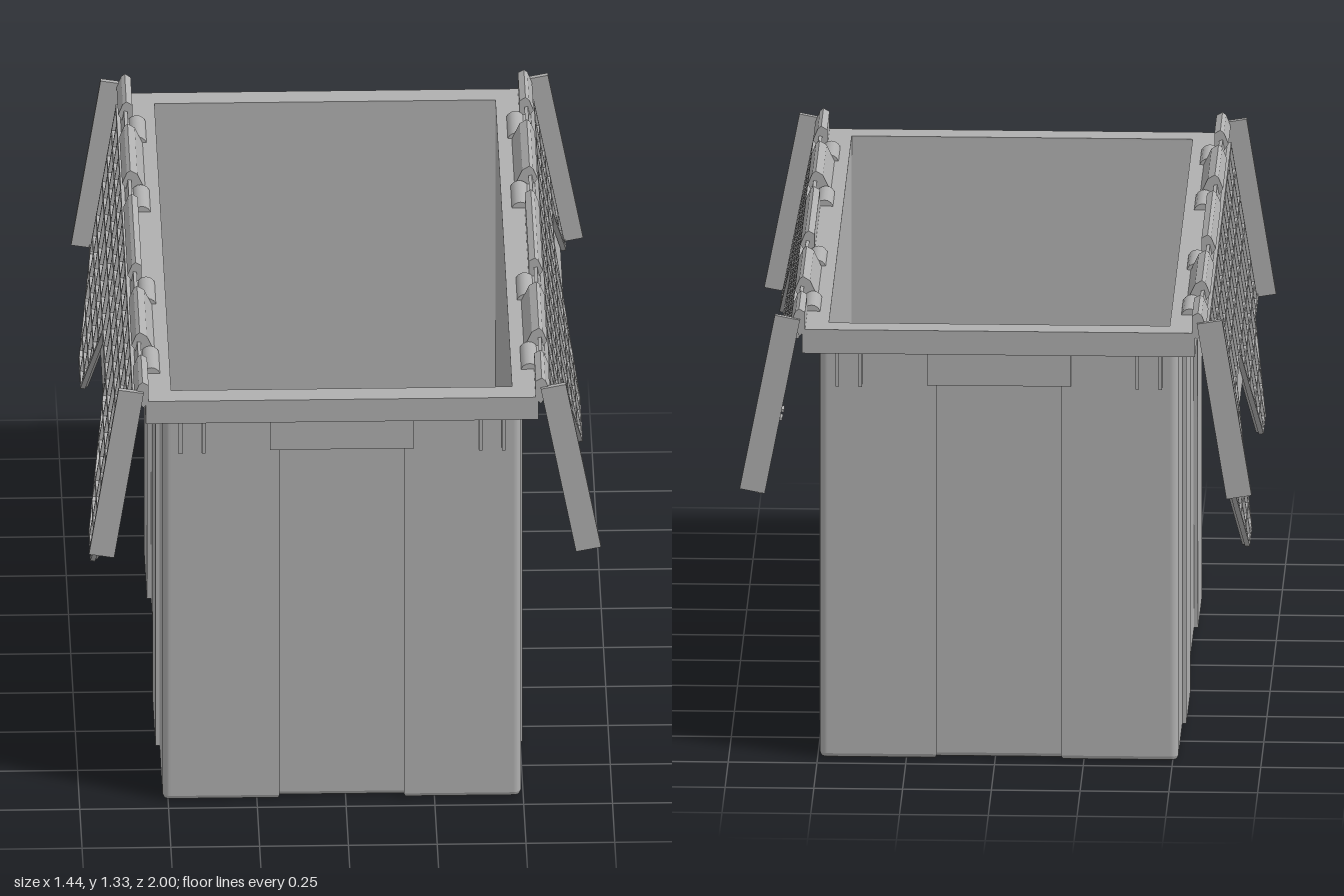
import * as THREE from 'three';

const plastic = new THREE.MeshStandardMaterial({ color: 0xb0b0b0 });
plastic.name = 'grey plastic';

const HX = 0.505, HZ = 0.95;          // half size of the tub
const V = (x, y) => new THREE.Vector2(x, y);

function add(parent, name, geometry, x = 0, y = 0, z = 0) {
  const mesh = new THREE.Mesh(geometry, plastic);
  mesh.name = name;
  mesh.position.set(x, y, z);
  parent.add(mesh);
  return mesh;
}

const box = (parent, name, w, h, d, x, y, z) => add(parent, name, new THREE.BoxGeometry(w, h, d), x, y, z);

const extrudeShape = (shape, depth, extra) =>
  new THREE.ExtrudeGeometry(shape, { depth, bevelEnabled: false, curveSegments: 6, ...extra });

const extrude = (points, depth) =>
  extrudeShape(new THREE.Shape(points.map(([x, y]) => V(x, y))), depth);

// Rectangle in plan
const rect = (hx, hz) => new THREE.Shape([V(-hx, -hz), V(hx, -hz), V(hx, hz), V(-hx, hz)]);

// Ring (or slab, without a hole) in plan, lifted between two heights
function ring(shape, hole, y0, y1, extra) {
  if (hole) shape.holes.push(hole);
  return extrudeShape(shape, y1 - y0, extra).rotateX(-Math.PI / 2).translate(0, y0, 0);
}

// Tub plan with rounded corners and a recess in each end
function footprint() {
  const s = new THREE.Shape(), r = 0.022, w = 0.175, d = 0.02;
  s.moveTo(-HX + r, -HZ);
  s.lineTo(-w, -HZ); s.lineTo(-w, -HZ + d); s.lineTo(w, -HZ + d); s.lineTo(w, -HZ);
  s.lineTo(HX - r, -HZ);
  s.absarc(HX - r, -HZ + r, r, -Math.PI / 2, 0);
  s.lineTo(HX, HZ - r);
  s.absarc(HX - r, HZ - r, r, 0, Math.PI / 2);
  s.lineTo(w, HZ); s.lineTo(w, HZ - d); s.lineTo(-w, HZ - d); s.lineTo(-w, HZ);
  s.lineTo(-HX + r, HZ);
  s.absarc(-HX + r, HZ - r, r, Math.PI / 2, Math.PI);
  s.lineTo(-HX, -HZ + r);
  s.absarc(-HX + r, -HZ + r, r, Math.PI, Math.PI * 1.5);
  return s;
}

function buildTub(root) {
  const tub = new THREE.Group();
  tub.name = 'tub';
  root.add(tub);
  const opening = rect(0.48, 0.92);

  add(tub, 'walls', ring(footprint(), opening, 0.014, 1.25));
  add(tub, 'floor', ring(footprint(), null, 0.014, 0.026,
    { bevelEnabled: true, bevelSize: 0.014, bevelThickness: 0.014, bevelOffset: -0.014, bevelSegments: 2 }));

  // Rim: flat top with a hanging skirt
  add(tub, 'rimTop', ring(rect(0.553, 0.99), opening, 1.25, 1.27));
  add(tub, 'rimSkirt', ring(rect(0.553, 0.99), rect(0.538, 0.975), 1.2, 1.25));

  for (const e of [1, -1]) {
    // Sloping inner end wall
    const wedge = extrude([[0.87, 0.03], [0.925, 0.03], [0.92, 1.265]], 0.96);
    wedge.rotateY(-Math.PI / 2).translate(0.48, 0, 0);
    if (e < 0) wedge.rotateY(Math.PI);
    add(tub, 'innerEndWall', wedge);
    // Handle block and stiffening fins under the rim
    box(tub, 'handleBlock', 0.405, 0.1, 0.04, 0, 1.152, e * 0.945);
    for (const x of [-0.455, -0.39, 0.39, 0.455])
      box(tub, 'rimFin', 0.01, 0.1, 0.035, x, 1.15, e * 0.963);
    // Raised tapered panels on the long sides
    for (const s of [1, -1]) {
      const pts = [[0.63, 0.016], [0.63, 1.25], [0.235, 1.25], [0.315, 0.016]];
      const panel = extrude(pts.map(([z, y]) => [z * e, y]), 0.014);
      panel.rotateY(-Math.PI / 2).translate(s > 0 ? HX + 0.012 : -HX + 0.002, 0, 0);
      add(tub, 'sidePanel', panel);
    }
  }
}

// Lower edge of each ribbed area as [z, y]; the two lids interlock
const PROFILE = {
  1: [[-0.985, 0.79], [-0.94, 0.79], [-0.73, 1.01], [-0.53, 1.01], [-0.22, 0.68], [0.06, 0.68],
    [0.37, 1.01], [0.58, 1.01], [0.8, 0.79], [0.985, 0.79]],
  '-1': [[-0.985, 0.79], [-0.93, 0.79], [-0.72, 0.57], [-0.54, 0.57], [-0.22, 0.9], [0.06, 0.9],
    [0.385, 0.57], [0.565, 0.57], [0.78, 0.79], [0.985, 0.79]],
};

function edgeAt(profile, z) {
  const i = profile.findIndex((p, k) => k > 0 && z <= p[0]);
  const [z0, y0] = profile[i - 1], [z1, y1] = profile[i];
  return y0 + (y1 - y0) * (z - z0) / (z1 - z0);
}

function buildLid(root, s) {
  const tilt = THREE.MathUtils.degToRad(s > 0 ? 11 : 9.2);
  const lid = new THREE.Group();
  lid.name = s > 0 ? 'leftLid' : 'rightLid';
  lid.position.set(s * 0.559, 1.3, 0);
  lid.rotation.set(-tilt, s * Math.PI / 2, 0, 'YXZ');
  root.add(lid);

  const profile = PROFILE[s];
  const map = ([z, y]) => [-s * z, (y - 1.3) / Math.cos(tilt)];
  // Straight rib between two [z, y] points, standing out from the plate
  const rib = (a, b, name = 'rib', t = 0.01) => {
    const [x0, y0] = map(a), [x1, y1] = map(b);
    const m = box(lid, name, Math.hypot(x1 - x0, y1 - y0) + t * 0.6, t, 0.014, (x0 + x1) / 2, (y0 + y1) / 2, 0.014);
    m.rotation.z = Math.atan2(y1 - y0, x1 - x0);
  };

  add(lid, 'lidPlate', extrude([[-0.985, 1.3], [0.985, 1.3], [0.985, 0.79], [-0.985, 0.79]].map(map), 0.006));
  add(lid, 'ribbedPanel', extrude([[0.985, 1.3], [-0.985, 1.3], ...profile].map(map), 0.01));

  // Border along the interlocking edge, then the grid
  for (let i = 1; i < profile.length; i++) rib(profile[i - 1], profile[i], 'lidBorder', 0.012);
  for (let i = -9; i <= 9; i++) {
    const z = i * 0.105;
    rib([z, 1.245], [z, edgeAt(profile, z)]);
  }
  for (const y of [1.245, 1.17, 1.09, 1.01, 0.905, 0.84, 0.765, 0.69, 0.63]) {
    let start = null;
    for (let i = -95; i <= 96; i++) {
      const z = i / 100, inside = i < 96 && edgeAt(profile, z) < y;
      if (inside && start === null) start = z;
      if (!inside && start !== null) {
        if (z - start > 0.03) rib([start, y], [z - 0.01, y]);
        start = null;
      }
    }
  }

  for (const e of [1, -1]) {
    box(lid, 'endFlange', 0.016, 0.52, 0.072, e * 0.992, -0.26, 0.036);
    // Small stops on the face turned to the tub
    box(lid, 'stopBlock', 0.06, 0.04, 0.02, e * 0.45, -0.19, -0.009);
    for (const y of [-0.43, -0.455]) box(lid, 'stopPin', 0.04, 0.008, 0.02, e * 0.45, y, -0.009);
  }
}

function buildHinge(root, s) {
  const hinge = new THREE.Group();
  hinge.name = 'hinge';
  root.add(hinge);
  const curl = [[0.519, 1.268], [0.542, 1.318], [0.562, 1.33], [0.572, 1.322], [0.585, 1.29], [0.56, 1.25], [0.55, 1.268]];
  const lip = [[0.545, 1.265], [0.545, 1.32], [0.562, 1.33], [0.572, 1.322], [0.585, 1.29], [0.56, 1.25]];
  const segments = [[-0.99, -0.81, lip], [-0.67, -0.37, curl], [-0.22, 0.22, lip], [0.37, 0.67, curl], [0.81, 0.99, lip]];
  for (const [z0, z1, pts] of segments)
    add(hinge, 'hingeLip', extrude(pts.map(([x, y]) => [s * x, y]), z1 - z0), 0, 0, z0);
  for (const z of [-0.74, -0.295, 0.295, 0.74]) {
    const knuckle = new THREE.CylinderGeometry(0.026, 0.026, 0.14, 16).rotateX(Math.PI / 2);
    add(hinge, 'hingeKnuckle', knuckle, s * 0.533, 1.262, z);
    box(hinge, 'hingeTab', 0.035, 0.02, 0.14, s * 0.55, 1.266, z);
  }
}

export function createModel() {
  const model = new THREE.Group();
  model.name = 'lidded crate';
  const root = new THREE.Group();
  root.name = 'crate';
  root.position.x = -0.011;
  model.add(root);
  buildTub(root);
  for (const s of [1, -1]) {
    buildLid(root, s);
    buildHinge(root, s);
  }
  return model;
}
